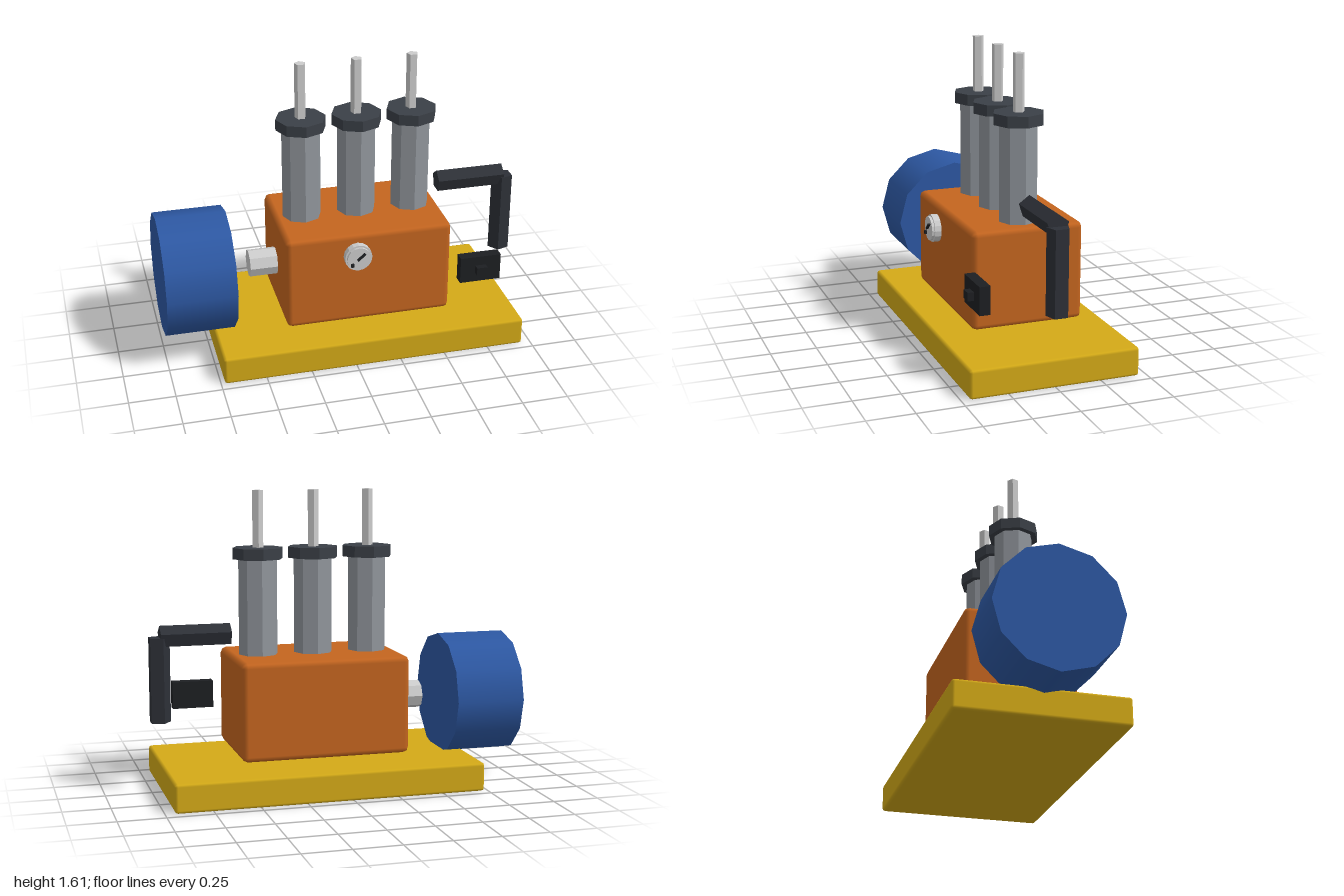
import * as THREE from 'three';
import { RoundedBoxGeometry } from 'three/addons/geometries/RoundedBoxGeometry.js';

const paint = (color, flatShading = false) => new THREE.MeshStandardMaterial({ color, flatShading });

export function createModel() {
  const model = new THREE.Group();
  model.name = 'triplexPump';

  const yellow = paint(0xd4aa17);
  const orange = paint(0xc4651f);
  const blue = paint(0x2d58a3);
  const steel = paint(0x90959b, true);
  const bright = paint(0xcccccc, true);
  const slate = paint(0x3b4047, true);
  const pipe = paint(0x2d3037, true);
  const black = paint(0x1d1f22);

  const add = (name, geometry, material, x, y, z, parent = model) => {
    const mesh = new THREE.Mesh(geometry, material);
    mesh.name = name;
    mesh.position.set(x, y, z);
    parent.add(mesh);
    return mesh;
  };
  const prism = (radius, length, sides) => new THREE.CylinderGeometry(radius, radius, length, sides);

  // Base plate and pump body with chamfered edges
  add('basePlate', new RoundedBoxGeometry(1.68, 0.155, 0.915, 1, 0.016), yellow, 0.11, 0.0775, 0);
  add('pumpBody', new RoundedBoxGeometry(0.915, 0.53, 0.61, 1, 0.03), orange, 0.105, 0.465, 0);

  // Motor and drive shaft on the right side
  add('motor', prism(0.337, 0.38, 12).rotateZ(Math.PI / 2), blue, -0.81, 0.4625, 0);
  add('driveShaft', prism(0.077, 0.24, 8).rotateZ(Math.PI / 2), bright, -0.385, 0.4625, 0);

  // Three plunger cylinders with collars and rods
  for (const x of [-0.2, 0.105, 0.41]) {
    const plunger = new THREE.Group();
    plunger.name = 'plunger';
    plunger.position.x = x;
    model.add(plunger);
    add('cylinder', prism(0.106, 0.56, 8), steel, 0, 0.975, 0, plunger);
    add('collar', prism(0.137, 0.06, 8), slate, 0, 1.275, 0, plunger);
    add('rod', prism(0.031, 0.33, 5).rotateY(Math.PI), bright, 0, 1.445, 0, plunger);
  }

  // Outlet pipe: a five-sided run out to the side and down
  add('outletPipeAcross', prism(0.06, 0.38, 5).rotateX(-Math.PI / 2).rotateY(Math.PI / 2), pipe, 0.755, 0.843, 0);
  add('outletPipeDown', prism(0.06, 0.455, 5).rotateY(-Math.PI / 2), pipe, 0.951, 0.6125, 0);

  // Pressure gauge with needle and zero mark
  const gauge = new THREE.Group();
  gauge.name = 'pressureGauge';
  gauge.position.set(0.03, 0.615, 0);
  model.add(gauge);
  add('gaugeCase', prism(0.075, 0.036, 16).rotateX(Math.PI / 2), bright, 0, 0, 0.338, gauge);
  add('gaugeFace', prism(0.066, 0.014, 16).rotateX(Math.PI / 2), bright, 0, 0, 0.363, gauge);
  add('needle', new THREE.BoxGeometry(0.055, 0.01, 0.012), black, 0.01, 0.015, 0.376, gauge).rotation.z = 0.7;
  add('zeroMark', new THREE.BoxGeometry(0.018, 0.018, 0.012), black, -0.039, -0.03, 0.376, gauge);

  // Switch box and its button
  add('switchBox', new THREE.BoxGeometry(0.228, 0.15, 0.058), black, 0.716, 0.461, 0.336);
  add('switchButton', new THREE.BoxGeometry(0.06, 0.045, 0.034), black, 0.716, 0.461, 0.381);

  return model;
}
